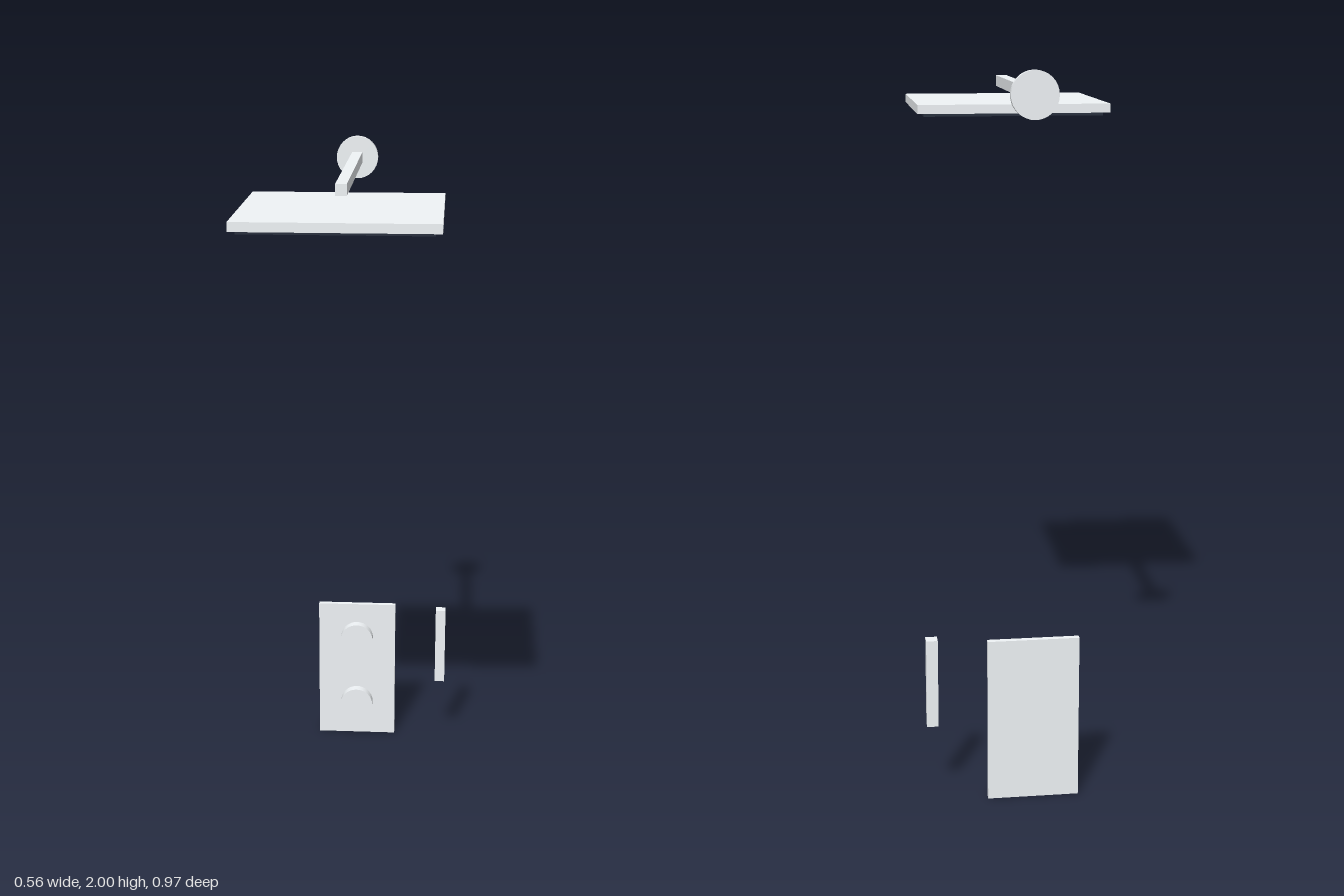
import * as THREE from 'three';

export function createModel() {
  const model = new THREE.Group();
  const metal = new THREE.MeshStandardMaterial({ color: 0xf0f4f7 });
  const dark = new THREE.MeshStandardMaterial({ color: 0x242d3c });
  const axisX = -0.011; // shared centre line of head, arm and valve

  const add = (name, geometry, x, y, z, material = metal) => {
    const mesh = new THREE.Mesh(geometry, material);
    mesh.name = name;
    mesh.position.set(x, y, z);
    model.add(mesh);
  };
  // Disc facing forward, spanning z0 to z1
  const addDisc = (name, radius, y, z0, z1) => {
    const geometry = new THREE.CylinderGeometry(radius, radius, z1 - z0, 32).rotateX(Math.PI / 2);
    add(name, geometry, axisX, y, (z0 + z1) / 2);
  };

  // Square rain head with dark spray face underneath
  add('showerHead', new THREE.BoxGeometry(0.541, 0.025, 0.541), axisX, 1.876, 0.214);
  add('sprayFace', new THREE.BoxGeometry(0.506, 0.012, 0.506), axisX, 1.861, 0.214, dark);

  // Wall arm and its round flange
  add('showerArm', new THREE.BoxGeometry(0.031, 0.031, 0.712), axisX, 1.938, -0.102);
  addDisc('wallFlange', 0.0625, 1.9375, -0.473, -0.452);

  // Valve plate with two round knobs
  add('valvePlate', new THREE.BoxGeometry(0.254, 0.47, 0.016), axisX, 0.235, -0.477);
  for (const y of [0.118, 0.353]) addDisc('valveKnob', 0.053, y, -0.47, -0.44);

  // Hand shower beside the plate
  add('handShower', new THREE.BoxGeometry(0.032, 0.254, 0.032), 0.267, 0.343, -0.445);

  return model;
}
